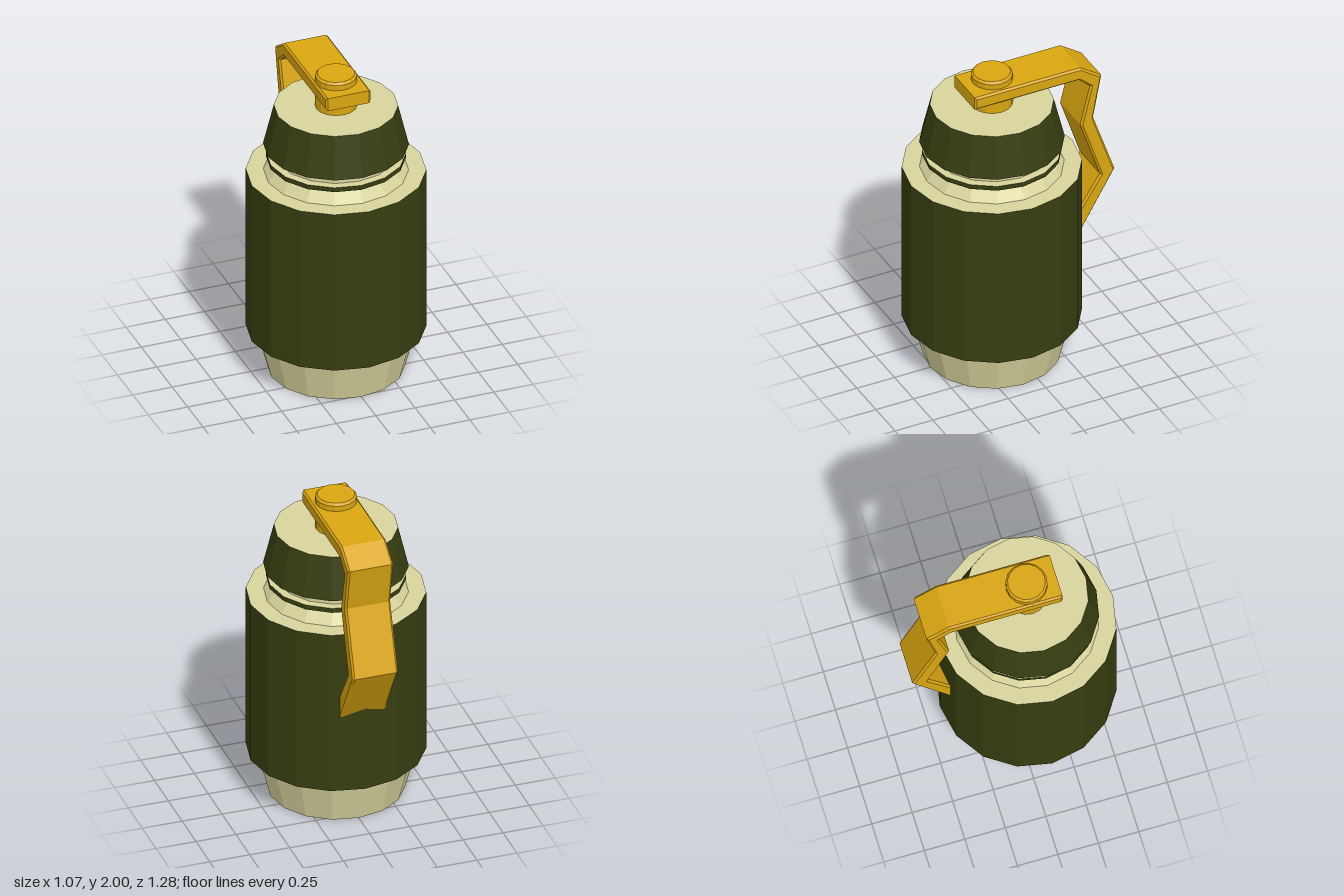
import * as THREE from 'three';

function material(name, color) {
  const m = new THREE.MeshStandardMaterial({ color });
  m.name = name;
  return m;
}

export function createModel() {
  const olive = material('olive', 0x363d10);
  const cream = material('cream', 0xd8d49d);
  const gold = material('gold', 0xd9a510);

  const group = new THREE.Group();
  const axisZ = 0.105; // the canister sits forward to balance the lever
  const sides = 16;

  // Faceted drum from y0 to y1; materials are [side, top, bottom]
  function drum(name, r0, r1, y0, y1, materials) {
    const geometry = new THREE.CylinderGeometry(r1, r0, y1 - y0, sides).toNonIndexed();
    geometry.computeVertexNormals();
    const mesh = new THREE.Mesh(geometry, materials);
    mesh.name = name;
    mesh.position.set(0, (y0 + y1) / 2, axisZ);
    group.add(mesh);
  }

  // Canister, from the ground up
  drum('base', 0.41, 0.48, 0, 0.27, [cream, cream, olive]);
  drum('body', 0.535, 0.535, 0.27, 1.34, [olive, cream, cream]);
  drum('shoulder', 0.43, 0.355, 1.34, 1.435, [cream, cream, cream]);
  drum('neckRing', 0.415, 0.415, 1.425, 1.455, [olive, cream, cream]);
  drum('neck', 0.365, 0.365, 1.44, 1.515, [cream, cream, cream]);
  drum('cap', 0.432, 0.368, 1.515, 1.78, [olive, cream, cream]);

  // Pin through the lever, with a bevelled tip
  drum('pin', 0.125, 0.125, 1.78, 1.985, [gold, gold, gold]);
  drum('pinTip', 0.125, 0.112, 1.985, 2, [gold, gold, gold]);

  // Lever: side outline as [z, y], outer edge then inner edge back
  const outline = [
    [0.29, 1.95], [-0.41, 1.95], [-0.55, 1.855], [-0.495, 1.57], [-0.637, 1.16], [-0.36, 0.705],
    [-0.36, 0.875], [-0.54, 1.15], [-0.41, 1.54], [-0.475, 1.8], [-0.4, 1.865], [0.29, 1.865],
  ];
  const shape = new THREE.Shape(outline.map(([z, y]) => new THREE.Vector2(-z, y)));
  const bevel = 0.012, width = 0.285;
  const leverGeometry = new THREE.ExtrudeGeometry(shape, {
    depth: width - 2 * bevel,
    bevelEnabled: true,
    bevelThickness: bevel,
    bevelSize: bevel,
    bevelOffset: -bevel,
    bevelSegments: 1,
  });
  leverGeometry.translate(0, 0, bevel - width / 2);
  leverGeometry.rotateY(Math.PI / 2);
  const lever = new THREE.Mesh(leverGeometry, gold);
  lever.name = 'lever';
  lever.position.x = 0.008;
  group.add(lever);

  return group;
}
